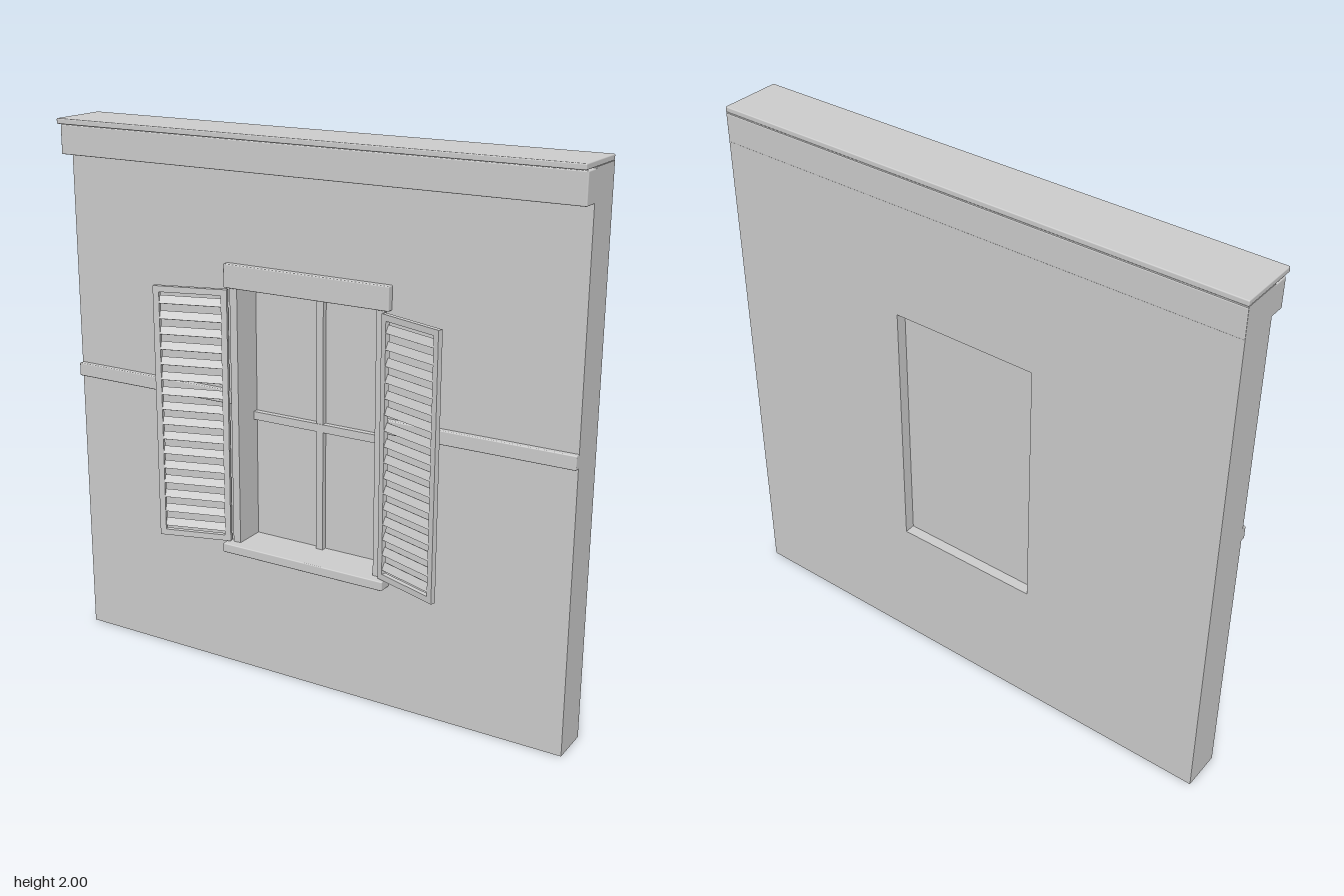
import * as THREE from 'three';
import { RoundedBoxGeometry } from 'three/addons/geometries/RoundedBoxGeometry.js';

const material = new THREE.MeshStandardMaterial({ color: 0xcccccc });

// Box given by its extents along each axis; an optional bevel softens the edges
function block(parent, name, [x0, x1], [y0, y1], [z0, z1], bevel = 0) {
  const size = [x1 - x0, y1 - y0, z1 - z0];
  const geometry = bevel
    ? new RoundedBoxGeometry(...size, 2, bevel)
    : new THREE.BoxGeometry(...size);
  const mesh = new THREE.Mesh(geometry, material);
  mesh.name = name;
  mesh.position.set((x0 + x1) / 2, (y0 + y1) / 2, (z0 + z1) / 2);
  parent.add(mesh);
  return mesh;
}

// Louvred shutter hanging from its hinge edge; side is +1 (left) or -1 (right)
function makeShutter(name, side, x, z, degrees) {
  const shutter = new THREE.Group();
  shutter.name = name;
  const length = 0.272, stile = 0.022, half = 0.009;
  const bottom = 0.505, top = 1.45, count = 16;
  const span = (a, b) => (side > 0 ? [a, b] : [-b, -a]);

  block(shutter, 'hingeStile', span(0, stile), [bottom, top], [-half, half]);
  block(shutter, 'outerStile', span(length - stile, length), [bottom, top], [-half, half]);
  const inner = span(stile, length - stile);
  block(shutter, 'bottomRail', inner, [bottom, bottom + 0.022], [-half, half]);
  block(shutter, 'topRail', inner, [top - 0.022, top], [-half, half]);

  // Evenly spaced slats, tilted to shed rain
  const low = bottom + 0.022, pitch = (top - bottom - 0.044) / count;
  for (let i = 0; i < count; i++) {
    const y = low + (i + 0.5) * pitch;
    const slat = block(shutter, 'slat', inner, [y - 0.015, y + 0.015], [-0.003, 0.003]);
    slat.rotation.x = -0.4;
  }
  shutter.position.set(x, 0, z);
  shutter.rotation.y = -side * THREE.MathUtils.degToRad(degrees);
  return shutter;
}

export function createModel() {
  const model = new THREE.Group();
  model.name = 'wallWithShutteredWindow';
  const back = -0.14, front = 0.01;
  const left = 0.275, right = -0.28, bottom = 0.5, top = 1.455;

  // Wall with the window opening cut through it
  const outline = new THREE.Shape([
    new THREE.Vector2(-1, 0), new THREE.Vector2(1, 0),
    new THREE.Vector2(1, 1.98), new THREE.Vector2(-1, 1.98),
  ]);
  outline.holes.push(new THREE.Path([
    new THREE.Vector2(right, bottom), new THREE.Vector2(right, top),
    new THREE.Vector2(left, top), new THREE.Vector2(left, bottom),
  ]));
  const wall = new THREE.Mesh(
    new THREE.ExtrudeGeometry(outline, { depth: front - back, bevelEnabled: false }), material);
  wall.name = 'wall';
  wall.position.z = back;
  model.add(wall);

  // Cornice and its thin capping slab
  block(model, 'cornice', [-1, 1], [1.87, 1.976], [back - 0.002, 0.07], 0.004);
  block(model, 'corniceCap', [-1, 1], [1.98, 2], [back - 0.002, 0.09], 0.004);

  // String course on both sides of the window
  block(model, 'stringCourse', [-1, -0.31], [1.03, 1.08], [0, 0.03], 0.004);
  block(model, 'stringCourse', [0.305, 1], [1.03, 1.08], [0, 0.03], 0.004);

  // Window surround
  block(model, 'lintel', [-0.33, 0.325], [1.455, 1.54], [0, 0.035], 0.004);
  block(model, 'windowSill', [-0.335, 0.33], [0.465, bottom], [0, 0.06], 0.004);
  block(model, 'jambTrim', [-0.31, right], [bottom, top], [0, 0.025]);
  block(model, 'jambTrim', [left, 0.305], [bottom, top], [0, 0.025]);

  // Pane and glazing bars
  block(model, 'pane', [right, left], [bottom, top], [-0.1, -0.095]);
  block(model, 'verticalGlazingBar', [-0.016, 0.011], [bottom, top], [-0.096, -0.075]);
  block(model, 'horizontalGlazingBar', [right, left], [0.95, 0.98], [-0.096, -0.073]);

  // Shutters standing ajar at slightly different angles
  model.add(makeShutter('leftShutter', 1, 0.308, 0.037, 20));
  model.add(makeShutter('rightShutter', -1, -0.315, 0.032, 17));

  // Centre the whole depth, cap edge to wall back being the fixed frame
  return model;
}
